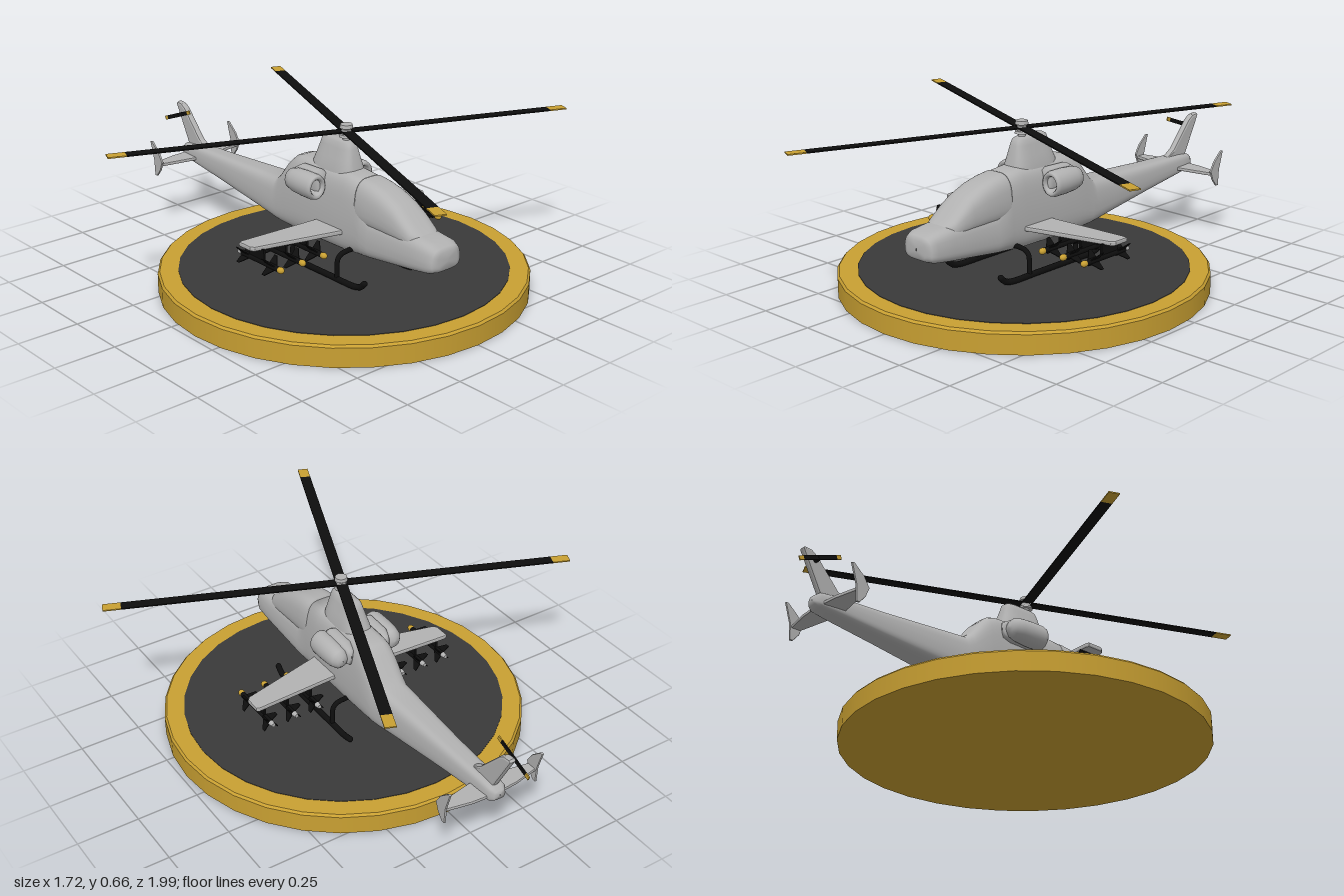
import * as THREE from 'three';

const mat = (name, color) => {
  const m = new THREE.MeshStandardMaterial({ color });
  m.name = name;
  return m;
};

export function createModel() {
  const gray = mat('hull gray', 0xb2b2b2);
  const gold = mat('gold', 0xc9a032);
  const black = mat('black', 0x0e0e0e);
  const dark = mat('pad gray', 0x3a3a3a);

  const model = new THREE.Group();
  model.name = 'helicopterOnStand';

  const add = (parent, name, geo, material, x = 0, y = 0, z = 0) => {
    const m = new THREE.Mesh(geo, material);
    m.name = name;
    m.position.set(x, y, z);
    parent.add(m);
    return m;
  };
  const group = (parent, name, x = 0, y = 0, z = 0) => {
    const g = new THREE.Group();
    g.name = name;
    g.position.set(x, y, z);
    parent.add(g);
    return g;
  };

  // Skin over rounded-box sections [z, halfWidth, bottom, top], listed front to back
  const loft = (sections, power, taper, n = 40) => {
    const pos = [], idx = [];
    const soft = v => Math.sign(v) * Math.abs(v) ** (2 / power);
    for (const [z, w, y0, y1] of sections) {
      for (let j = 0; j < n; j++) {
        const a = (j / n) * Math.PI * 2, s = soft(Math.sin(a));
        pos.push(w * soft(Math.cos(a)) * (1 - taper * Math.max(0, s)), (y0 + y1) / 2 + s * (y1 - y0) / 2, z);
      }
    }
    for (let i = 0; i < sections.length - 1; i++) {
      for (let j = 0; j < n; j++) {
        const k = (j + 1) % n, a = i * n + j, b = i * n + k;
        idx.push(a, a + n, b, b, a + n, b + n);
      }
    }
    const g = new THREE.BufferGeometry();
    g.setAttribute('position', new THREE.Float32BufferAttribute(pos, 3));
    g.setIndex(idx);
    g.computeVertexNormals();
    return g;
  };

  // Thin plate with a small rounded edge; outline given as pairs
  const plate = (pts, t) => {
    const b = t * 0.3;
    const g = new THREE.ExtrudeGeometry(new THREE.Shape(pts.map(p => new THREE.Vector2(...p))),
      { depth: t - 2 * b, bevelEnabled: true, bevelThickness: b, bevelSize: b, bevelOffset: -b, bevelSegments: 2 });
    return g.translate(0, 0, b - t / 2);
  };
  const flatPlate = (pts, t) => plate(pts.map(([x, z]) => [x, -z]), t).rotateX(-Math.PI / 2);
  const uprightPlate = (pts, t) => plate(pts, t).rotateY(-Math.PI / 2);

  // Round stand with a dark landing pad
  const stand = group(model, 'stand', 0, 0, 0.12);
  add(stand, 'standRim', new THREE.CylinderGeometry(0.73, 0.73, 0.077, 32), gold, 0, 0.0385, 0);
  add(stand, 'standBevel', new THREE.CylinderGeometry(0.722, 0.73, 0.009, 32), gold, 0, 0.0815, 0);
  add(stand, 'landingPad', new THREE.CylinderGeometry(0.65, 0.65, 0.003, 32), dark, 0, 0.0865, 0);

  // Hull and tail boom
  add(model, 'fuselage', loft([
    [0.685, 0.001, 0.275, 0.285], [0.684, 0.05, 0.25, 0.315], [0.675, 0.073, 0.238, 0.33],
    [0.65, 0.083, 0.228, 0.342], [0.57, 0.086, 0.216, 0.352], [0.46, 0.086, 0.203, 0.356],
    [0.34, 0.086, 0.188, 0.362], [0.3, 0.086, 0.183, 0.41], [0.265, 0.086, 0.179, 0.487],
    [0.19, 0.087, 0.172, 0.494], [0, 0.087, 0.17, 0.495], [-0.08, 0.086, 0.171, 0.493],
    [-0.115, 0.086, 0.172, 0.482], [-0.15, 0.085, 0.174, 0.45], [-0.2, 0.083, 0.179, 0.385],
    [-0.23, 0.08, 0.183, 0.36], [-0.34, 0.072, 0.198, 0.355], [-0.6, 0.054, 0.231, 0.343],
    [-0.83, 0.043, 0.26, 0.336], [-0.885, 0.038, 0.268, 0.33], [-0.903, 0.025, 0.28, 0.318],
    [-0.906, 0.001, 0.298, 0.302],
  ], 4, 0.14), gray);

  // Cockpit canopy
  add(model, 'canopy', loft([
    [0.59, 0.001, 0.335, 0.345], [0.582, 0.06, 0.31, 0.35], [0.55, 0.073, 0.3, 0.372], [0.505, 0.078, 0.3, 0.408],
    [0.46, 0.08, 0.3, 0.438], [0.39, 0.082, 0.3, 0.468], [0.33, 0.083, 0.3, 0.483],
    [0.275, 0.083, 0.3, 0.49], [0.262, 0.08, 0.3, 0.486], [0.26, 0.001, 0.39, 0.4],
  ], 3.4, 0.14), gray);

  // Rotor pylon: the upright axis is lofted along z and then stood up
  const pylon = loft([
    [0.602, 0.001, -0.09, -0.089], [0.6, 0.02, -0.158, -0.02], [0.592, 0.029, -0.17, -0.008],
    [0.57, 0.036, -0.178, -0.002], [0.53, 0.047, -0.187, 0.012], [0.5, 0.056, -0.195, 0.024], [0.47, 0.06, -0.2, 0.035],
  ], 3.4, 0).rotateX(-Math.PI / 2);
  add(model, 'rotorPylon', pylon, gray);

  // Engine pods with open intakes
  const podProfile = [[0.001, -0.07], [0.022, -0.066], [0.036, -0.05], [0.043, -0.02], [0.046, 0.03],
    [0.046, 0.085], [0.042, 0.1], [0.035, 0.105], [0.028, 0.098], [0.025, 0.08], [0.024, 0.04], [0.001, 0.038]]
    .map(p => new THREE.Vector2(...p));
  for (const s of [1, -1]) {
    const pod = group(model, s > 0 ? 'leftEngine' : 'rightEngine', s * 0.122, 0.424, 0);
    add(pod, 'enginePod', new THREE.LatheGeometry(podProfile, 28).rotateX(Math.PI / 2).scale(1, 1.12, 1), gray);
    add(pod, 'engineFairing', loft([
      [0.09, 0.001, 0, 0.01], [0.087, 0.025, -0.04, 0.05], [0.07, 0.03, -0.045, 0.058],
      [-0.03, 0.028, -0.043, 0.055], [-0.065, 0.015, -0.03, 0.035], [-0.07, 0.001, 0, 0.01],
    ], 3, 0, 24), gray, -s * 0.04);
  }

  // Main rotor
  const rotor = group(model, 'mainRotor', 0, 0.635, 0.13);
  add(rotor, 'rotorShaft', new THREE.CylinderGeometry(0.014, 0.014, 0.07, 20), gray, 0, -0.015);
  for (const [y, r, h] of [[0.02, 0.026, 0.014], [-0.002, 0.02, 0.018], [-0.018, 0.028, 0.01]])
    add(rotor, 'hubDisc', new THREE.CylinderGeometry(r * 0.9, r, h, 24), gray, 0, y);
  for (let i = 0; i < 4; i++) {
    const blade = group(rotor, 'rotorBlade');
    blade.rotation.y = THREE.MathUtils.degToRad(67.7 + 90 * i);
    add(blade, 'bladeSpan', new THREE.BoxGeometry(0.83, 0.005, 0.043), black, 0.435);
    add(blade, 'bladeTip', new THREE.BoxGeometry(0.07, 0.005, 0.043), gold, 0.885);
  }

  // Stub wings with three missiles each
  const buildMissile = (parent, x) => {
    const m = group(parent, 'missile', x, 0.206, 0);
    const rod = (name, r0, r1, len, z, c) =>
      add(m, name, new THREE.CylinderGeometry(r0, r1, len, 14).rotateX(Math.PI / 2), c, 0, 0, z);
    rod('missileBody', 0.011, 0.011, 0.22, 0.11, black);
    rod('missileNozzle', 0.011, 0.008, 0.02, -0.01, gray);
    add(m, 'missileNose', new THREE.SphereGeometry(0.013, 16, 10).scale(1, 1, 1.25), gold, 0, 0, 0.228);
    add(m, 'missilePylon', new THREE.BoxGeometry(0.009, 0.05, 0.09), black, 0, 0.027, 0.09);
    for (let i = 0; i < 4; i++) {
      const fins = group(m, 'missileFins');
      fins.rotation.z = Math.PI / 4 + i * Math.PI / 2;
      add(fins, 'frontFin', flatPlate([[0, 0.21], [0.045, 0.17], [0.045, 0.155], [0, 0.155]], 0.004), black);
      add(fins, 'rearFin', flatPlate([[0, 0.06], [0.042, 0.015], [0.042, 0], [0, 0.005]], 0.004), black);
    }
  };
  for (const s of [1, -1]) {
    const wing = group(model, s > 0 ? 'leftWing' : 'rightWing');
    const outline = [[0.05, 0.05], [0.05, 0.215], [0.1, 0.2], [0.44, 0.115], [0.452, 0.1], [0.452, 0.035], [0.44, 0.03]];
    add(wing, 'wingPanel', flatPlate(outline.map(([x, z]) => [s * x, z]), 0.02), gray, 0, 0.262, 0);
    for (const x of [0.2, 0.305, 0.41]) buildMissile(wing, s * x);
  }

  // Landing skids
  const tube = (pts, r) => new THREE.TubeGeometry(
    new THREE.CatmullRomCurve3(pts.map(p => new THREE.Vector3(...p))), 32, r, 12);
  for (const s of [1, -1]) {
    const gear = group(model, s > 0 ? 'leftSkid' : 'rightSkid');
    const x = s * 0.143;
    add(gear, 'skidRail', tube([[x, 0.129, 0.395], [x, 0.11, 0.375], [x, 0.1, 0.34], [x, 0.099, 0.2],
      [x, 0.099, 0], [x, 0.099, -0.11], [x, 0.107, -0.15]], 0.012), black);
    for (const z of [0.395, -0.15])
      add(gear, 'railEnd', new THREE.SphereGeometry(0.012, 12, 8), black, x, z > 0 ? 0.129 : 0.107, z);
    for (const z of [0.24, -0.022])
      add(gear, 'skidStrut', tube([[x, 0.095, z], [x, 0.15, z], [s * 0.138, 0.18, z], [s * 0.12, 0.195, z],
        [s * 0.09, 0.2, z], [s * 0.05, 0.2, z]], 0.01), black);
  }

  // Tail fin, stabilizer and end plates
  const tail = group(model, 'tail');
  add(tail, 'tailFin', uprightPlate([[-0.73, 0.32], [-0.87, 0.31], [-0.963, 0.49], [-0.955, 0.498], [-0.925, 0.495],
    [-0.9, 0.478], [-0.8, 0.365]], 0.03), gray);
  add(tail, 'stabilizer', flatPlate([[-0.2, -0.855], [-0.2, -0.815], [-0.04, -0.785], [0.04, -0.785],
    [0.2, -0.815], [0.2, -0.855], [0.1, -0.875], [0.03, -0.88], [-0.03, -0.88], [-0.1, -0.875]].reverse(), 0.014), gray, 0, 0.286, 0);
  for (const s of [1, -1])
    add(tail, 'endPlate', uprightPlate([[-0.805, 0.3], [-0.83, 0.34], [-0.875, 0.38], [-0.885, 0.378], [-0.862, 0.3],
      [-0.858, 0.232], [-0.845, 0.232], [-0.82, 0.262]], 0.01), gray, s * 0.205);

  // Tail rotor on the right side of the fin
  const tailRotor = group(model, 'tailRotor', -0.045, 0.453, -0.91);
  tailRotor.rotation.x = -0.36;
  add(tailRotor, 'tailShaft', new THREE.CylinderGeometry(0.009, 0.009, 0.05, 14).rotateZ(Math.PI / 2), black, 0.022);
  add(tailRotor, 'tailBlade', new THREE.BoxGeometry(0.005, 0.017, 0.15), black);
  for (const s of [1, -1])
    add(tailRotor, 'tailBladeTip', new THREE.BoxGeometry(0.005, 0.017, 0.02), gold, 0, 0, s * 0.085);

  return model;
}
